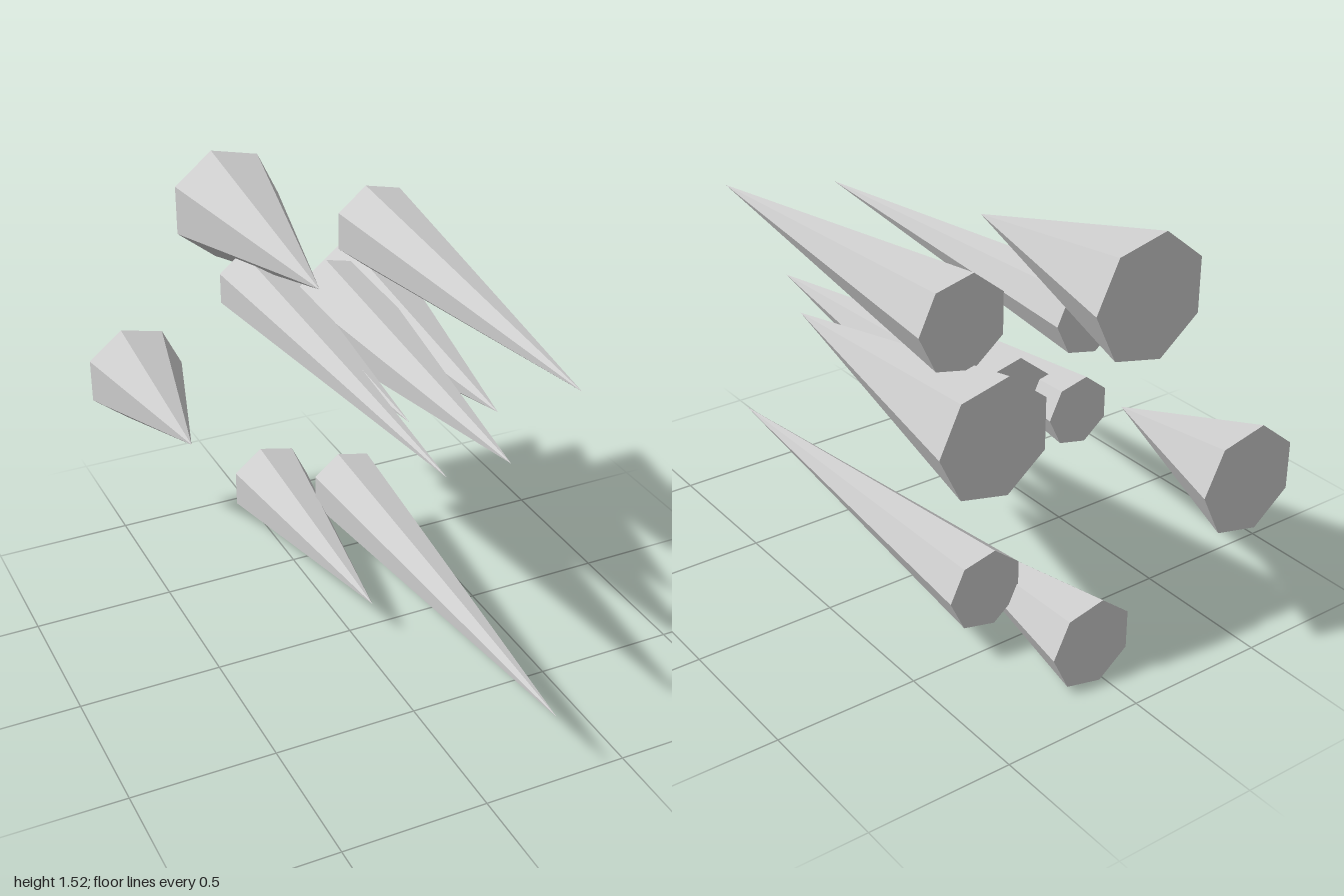
import * as THREE from 'three';

export function createModel() {
  const group = new THREE.Group();
  const grey = new THREE.MeshStandardMaterial({ color: 0xcccccc, flatShading: true });
  grey.name = 'pale grey';

  // Each spike: centre x, centre y, base radius, base z, tip z
  const spikes = [
    [-0.073, 1.324, 0.206, -0.887, -0.07],
    [-0.107, 1.143, 0.125, -0.58, 0.868],
    [0.384, 1.263, 0.157, -0.605, 0.78],
    [0.088, 0.966, 0.109, -0.775, 0.26],
    [0.05, 0.153, 0.156, -0.84, 0.08],
    [0.236, 0.26, 0.141, -0.532, 1],
    [0.26, 0.957, 0.181, -0.662, 0.61],
    [0.384, 0.957, 0.2, -0.764, 0.31],
    [-0.418, 0.662, 0.187, -1, -0.4],
  ];

  spikes.forEach(([x, y, radius, back, tip], i) => {
    // Seven-sided cone pointing forward, one corner towards +x
    const geometry = new THREE.ConeGeometry(radius, tip - back, 7)
      .rotateY(Math.PI / 2)
      .rotateX(Math.PI / 2);
    const spike = new THREE.Mesh(geometry, grey);
    spike.name = `spike${i + 1}`;
    spike.position.set(x, y, (back + tip) / 2);
    group.add(spike);
  });

  group.name = 'spikeCluster';
  return group;
}
